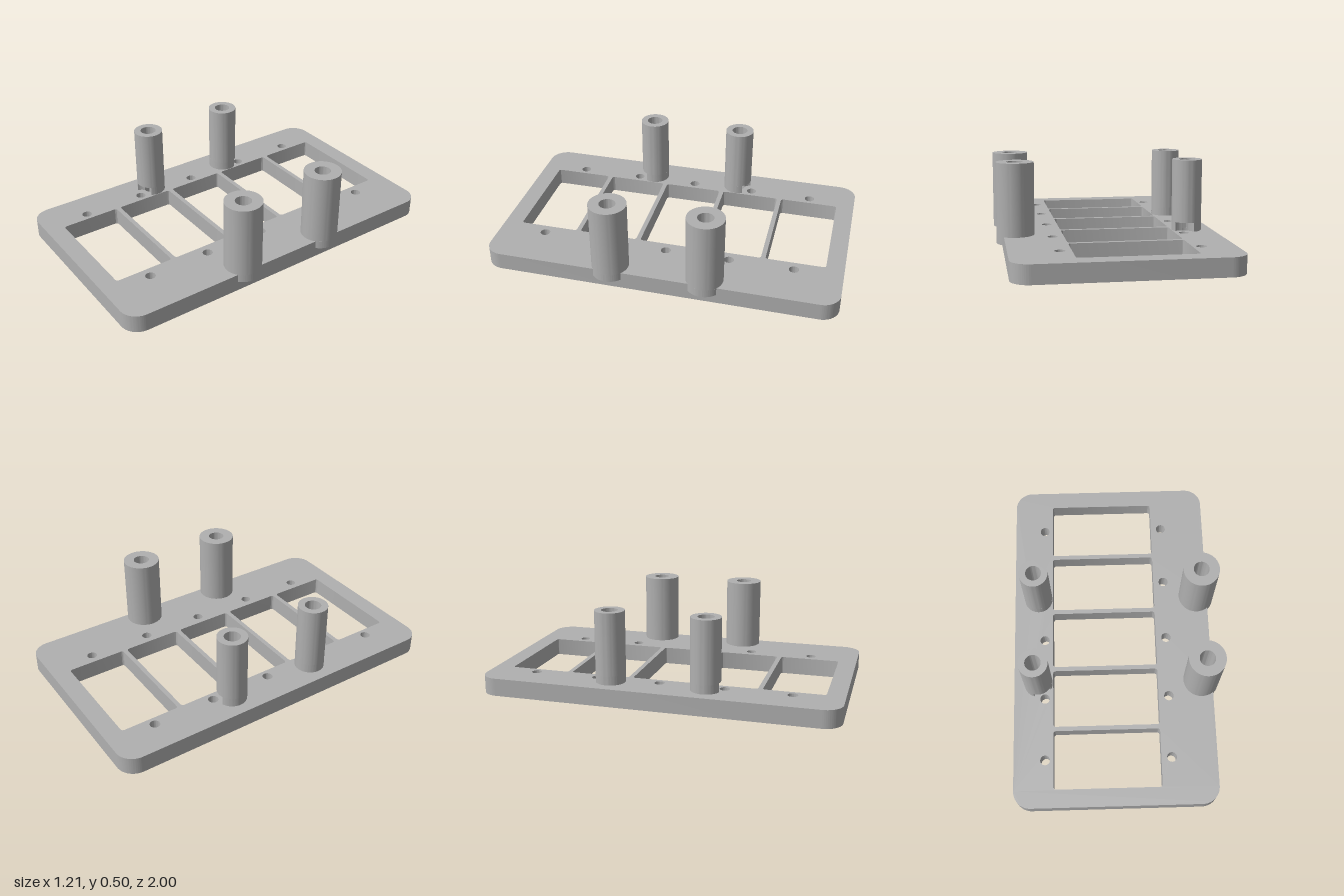
import * as THREE from 'three';
import { toCreasedNormals } from 'three/addons/utils/BufferGeometryUtils.js';

const PLATE = { x0: -0.605, x1: 0.567, half: 1, top: 0.1, corner: 0.1 };
const TOP = 0.5, BORE = 0.045, POST_Z = 0.2675, PITCH = 0.364;
const LEFT = { x: 0.5, r: 0.104 };     // wide posts overhanging the +x edge
const RIGHT = { x: -0.462, r: 0.083 }; // slim posts on the -x side
const SCREW_X = [-0.424, 0.305], SCREW_R = 0.028;
const HEAD_R = 0.065, HEAD_TOP = 0.15; // screw head clearance cut into slim posts

const material = new THREE.MeshStandardMaterial({ color: 0xb0b0b0 });
material.name = 'plain grey';

// Rounded rectangle drawn into a Shape or Path
function roundedRect(path, x0, y0, x1, y1, r) {
  path.absarc(x1 - r, y0 + r, r, -Math.PI / 2, 0);
  path.absarc(x1 - r, y1 - r, r, 0, Math.PI / 2);
  path.absarc(x0 + r, y1 - r, r, Math.PI / 2, Math.PI);
  path.absarc(x0 + r, y0 + r, r, Math.PI, Math.PI * 1.5);
  path.closePath();
  return path;
}

const circle = (path, x, y, r) => path.absarc(x, y, r, 0, Math.PI * 2);

// Extrude a plan shape (shape y = -z) upwards between two heights
function slab(name, shape, y0, y1, curveSegments = 32) {
  const geometry = new THREE.ExtrudeGeometry(shape, { depth: y1 - y0, bevelEnabled: false, curveSegments });
  geometry.rotateX(-Math.PI / 2).translate(0, y0, 0);
  const mesh = new THREE.Mesh(toCreasedNormals(geometry, Math.PI / 5), material);
  mesh.name = name;
  return mesh;
}

function ring(r) {
  const shape = circle(new THREE.Shape(), 0, 0, r);
  shape.holes.push(circle(new THREE.Path(), 0, 0, BORE));
  return shape;
}

// Ring with a round bite, centred at (cx, cy), that opens into the bore
function bittenRing(r, cx, cy) {
  const d = Math.hypot(cx, cy), phi = Math.atan2(cy, cx);
  const meet = (radius) => {
    const a = (d * d + radius * radius - HEAD_R * HEAD_R) / (2 * d);
    const h = Math.sqrt(radius * radius - a * a);
    return { post: Math.atan2(h, a), bite: Math.atan2(h, a - d) };
  };
  const outer = meet(r), inner = meet(BORE);
  const shape = new THREE.Shape();
  shape.absarc(0, 0, r, phi + outer.post, phi + Math.PI * 2 - outer.post, false);
  shape.absarc(cx, cy, HEAD_R, phi - outer.bite, phi - inner.bite, true);
  shape.absarc(0, 0, BORE, phi - inner.post, phi + inner.post - Math.PI * 2, true);
  shape.absarc(cx, cy, HEAD_R, phi + inner.bite, phi + outer.bite, true);
  return shape;
}

export function createModel() {
  const model = new THREE.Group();
  model.name = 'mountingPlate';

  // Base plate with five windows, screw holes and post bores
  const plan = roundedRect(new THREE.Shape(), PLATE.x0, -PLATE.half, PLATE.x1, PLATE.half, PLATE.corner);
  for (let i = -2; i <= 2; i++) {
    const y = i * PITCH;
    plan.holes.push(roundedRect(new THREE.Path(), -0.376, y - 0.169, 0.244, y + 0.169, 0.015));
    for (const x of SCREW_X) plan.holes.push(circle(new THREE.Path(), x, y, SCREW_R));
  }
  for (const x of [LEFT.x, RIGHT.x]) {
    for (const s of [-1, 1]) plan.holes.push(circle(new THREE.Path(), x, s * POST_Z, BORE));
  }
  model.add(slab('basePlate', plan, 0, PLATE.top, 24));

  for (const s of [-1, 1]) {
    const end = s > 0 ? 'Front' : 'Back';

    // Wide post with a lip hanging over the plate edge
    const wide = new THREE.Group();
    wide.name = 'leftPost' + end;
    wide.position.set(LEFT.x, 0, s * POST_Z);
    const half = Math.acos((PLATE.x1 - LEFT.x) / LEFT.r);
    const lip = new THREE.Shape().absarc(0, 0, LEFT.r, -half, half);
    wide.add(slab('postBody', ring(LEFT.r), PLATE.top, TOP));
    wide.add(slab('edgeLip', lip, 0.055, PLATE.top));

    // Slim post, its foot notched to clear the neighbouring screw
    const slim = new THREE.Group();
    slim.name = 'rightPost' + end;
    slim.position.set(RIGHT.x, 0, s * POST_Z);
    const foot = bittenRing(RIGHT.r, SCREW_X[0] - RIGHT.x, -s * (PITCH - POST_Z));
    slim.add(slab('postBody', ring(RIGHT.r), HEAD_TOP, TOP));
    slim.add(slab('notchedFoot', foot, PLATE.top, HEAD_TOP));

    model.add(wide, slim);
  }
  return model;
}
